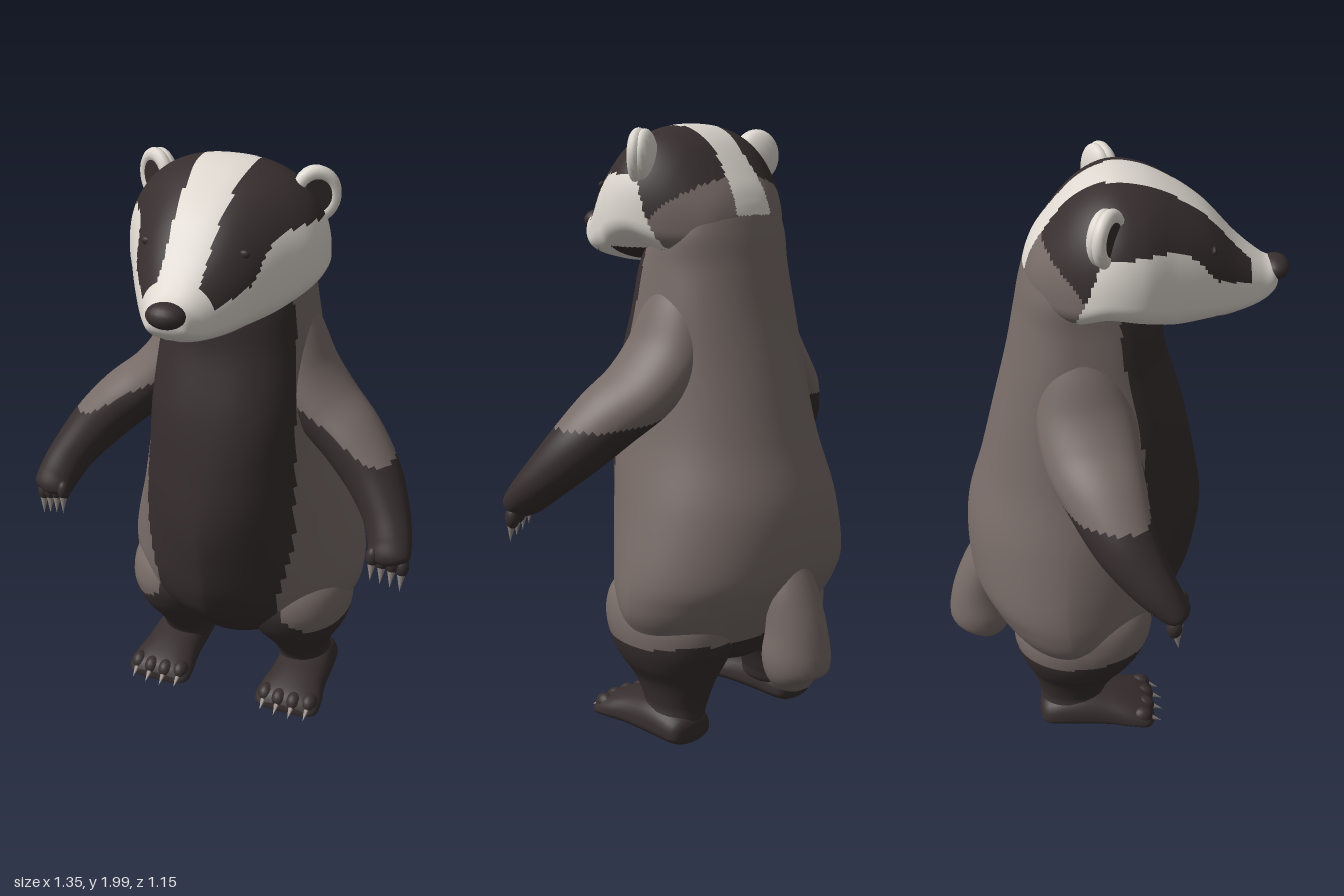
import * as THREE from 'three';

const material = (name, hex) => {
  const m = new THREE.MeshStandardMaterial({ color: hex });
  m.name = name;
  return m;
};
const dark = material('dark fur', 0x372e2e);
const grey = material('grey fur', 0x776b67);
const white = material('white fur', 0xded8d0);
const claw = material('claw', 0x958b86);
const furs = [dark, grey, white];
const DARK = 0, GREY = 1, WHITE = 2;

// Smooth interpolation through rows of numbers, u from 0 to 1
function sample(keys, u) {
  const f = Math.min(Math.max(u, 0), 1) * (keys.length - 1);
  const i = Math.min(Math.floor(f), keys.length - 2), t = f - i;
  const at = k => keys[Math.min(Math.max(k, 0), keys.length - 1)];
  const [p, q, r, s] = [at(i - 1), at(i), at(i + 1), at(i + 2)];
  return q.map((_, k) => 0.5 * (2 * q[k] + (r[k] - p[k]) * t
    + (2 * p[k] - 5 * q[k] + 4 * r[k] - s[k]) * t * t
    + (3 * q[k] - p[k] - 3 * r[k] + s[k]) * t * t * t));
}

// Straight-line lookup in a table of [position, value]
function lookup(table, v) {
  if (v <= table[0][0]) return table[0][1];
  for (let i = 1; i < table.length; i++) {
    const [a, va] = table[i - 1], [b, vb] = table[i];
    if (v <= b) return va + (vb - va) * (v - a) / (b - a);
  }
  return table[table.length - 1][1];
}

const power = (v, n) => Math.sign(v) * Math.pow(Math.abs(v), 2 / n);

// Closed skin over rings point(u, angle); colourOf picks the fur of each patch
function skin(name, point, colourOf, rows, cols) {
  const pos = [], faces = furs.map(() => []);
  for (let i = 0; i <= rows; i++)
    for (let j = 0; j < cols; j++) pos.push(...point(i / rows, j / cols * Math.PI * 2));
  for (const i of [0, rows]) {
    const c = [0, 0, 0];
    for (let j = 0; j < cols; j++)
      for (let k = 0; k < 3; k++) c[k] += pos[(i * cols + j) * 3 + k] / cols;
    pos.push(...c);
  }
  const add = (corners, tris) => {
    const mid = [0, 1, 2].map(k => corners.reduce((sum, v) => sum + pos[v * 3 + k], 0) / corners.length);
    faces[colourOf(...mid)].push(...tris);
  };
  const end = (rows + 1) * cols;
  for (let j = 0; j < cols; j++) {
    const n = (j + 1) % cols;
    for (let i = 0; i < rows; i++) {
      const a = i * cols + j, b = i * cols + n, c = a + cols, d = b + cols;
      add([a, b, c, d], [a, b, c, b, d, c]);
    }
    const first = [end, n, j], last = [end + 1, rows * cols + j, rows * cols + n];
    add(first, first);
    add(last, last);
  }
  const g = new THREE.BufferGeometry();
  g.setAttribute('position', new THREE.Float32BufferAttribute(pos, 3));
  g.setIndex(faces.flat());
  let start = 0;
  faces.forEach((f, m) => {
    if (f.length) g.addGroup(start, f.length, m);
    start += f.length;
  });
  g.computeVertexNormals();
  const mesh = new THREE.Mesh(g, furs);
  mesh.name = name;
  return mesh;
}

// Upright section from rows of [y, front z, back z, half width, front squareness]; widest behind the middle
const upright = (keys, low, cx = () => 0) => (u, t) => {
  const [y, zf, zb, w, square] = sample(keys, u);
  const mid = zb + low * (zf - zb), front = Math.cos(t) > 0;
  const n = front ? square : 2.05;
  return [cx(y) + w * power(Math.sin(t), n), y, mid + (front ? zf - mid : mid - zb) * power(Math.cos(t), n)];
};
// Forward section from rows of [z, top, bottom, half width]
const forward = (keys, low, cx = 0) => (u, t) => {
  const [z, top, bottom, w] = sample(keys, u);
  const mid = bottom + low * (top - bottom), s = power(Math.sin(t), 2.3);
  return [cx + w * power(Math.cos(t), 2.3), mid + s * (s > 0 ? top - mid : mid - bottom), z];
};
// Limb section along rows of [x, y, z, radius, depth radius]
const limb = (keys, side = 1) => (u, t) => {
  const centre = v => { const [x, y, z] = sample(keys, v); return new THREE.Vector3(x * side, y, z); };
  const [, , , ra, rb] = sample(keys, u);
  const d = centre(u + 0.01).sub(centre(u - 0.01)).normalize();
  const a = d.clone().cross(new THREE.Vector3(0, 0, 1)).normalize();
  const b = d.clone().cross(a);
  return centre(u).addScaledVector(a, ra * Math.cos(t)).addScaledVector(b, rb * Math.sin(t)).toArray();
};

// Dark belly and legs on grey fur
const bellyEdge = [[0.36, 0.3], [0.4, 0.235], [0.47, 0.215], [0.6, 0.245], [0.75, 0.268], [1, 0.26], [1.2, 0.25], [1.55, 0.22]];
const bodyColour = (x, y, z) =>
  y < 0.355 + 0.01 * Math.sin(14 * x + 9 * z) || (z > 0.04 && Math.abs(x) < lookup(bellyEdge, y)) ? DARK : GREY;
// Dark forearm, reaching higher on the inner front
const armColour = (x, y, z) =>
  y < 1.06 + Math.max(0, 0.5 - Math.abs(x)) * (0.15 + 0.5 * Math.min(1, Math.max(0, (z + 0.01) * 9))) ? DARK : GREY;

// Striped face: white blaze, dark eye bands, white cheeks, dark throat, grey nape
const stripe = [[-0.25, 0.075], [-0.1, 0.057], [0, 0.08], [0.1, 0.085], [0.3, 0.07], [0.44, 0.065]];
const bandEdge = [[-0.12, 1.58], [-0.06, 1.72], [-0.02, 1.83], [0.1, 1.84], [0.2, 1.83], [0.26, 1.79], [0.33, 1.71], [0.44, 1.665]];
function headColour(x, y, z) {
  if (Math.abs(x) < lookup(stripe, z) && y > 1.71) return WHITE;
  if (z < -0.07 - Math.max(0, 1.7 - y) * 0.35 && y < 1.63 - z) return GREY;
  if (z < 0.17 && y < 1.605) return DARK;
  return z < 0.44 && y > lookup(bandEdge, z) ? DARK : WHITE;
}

const torsoKeys = [[0.22, -0.02, -0.2, 0.05, 2], [0.26, 0.08, -0.27, 0.18, 2], [0.34, 0.16, -0.33, 0.35, 1.7],
  [0.42, 0.235, -0.385, 0.415, 1.55], [0.5, 0.28, -0.435, 0.435, 1.5], [0.6, 0.31, -0.475, 0.425, 1.5],
  [0.8, 0.33, -0.475, 0.37, 1.65], [1, 0.3, -0.42, 0.31, 2.1], [1.2, 0.255, -0.37, 0.278, 2.6],
  [1.4, 0.195, -0.32, 0.258, 2.5], [1.55, 0.17, -0.29, 0.238, 2.3], [1.66, 0.1, -0.268, 0.225, 2.2],
  [1.75, 0.05, -0.238, 0.18, 2.1], [1.82, 0, -0.18, 0.08, 2]];
const headKeys = [[-0.26, 1.69, 1.64, 0.03], [-0.24, 1.755, 1.62, 0.11], [-0.2, 1.825, 1.59, 0.18],
  [-0.1, 1.94, 1.56, 0.27], [0, 1.99, 1.585, 0.315], [0.1, 1.985, 1.57, 0.312], [0.2, 1.945, 1.545, 0.26],
  [0.3, 1.878, 1.545, 0.205], [0.4, 1.775, 1.553, 0.145], [0.48, 1.712, 1.572, 0.092],
  [0.525, 1.692, 1.605, 0.06], [0.54, 1.665, 1.64, 0.015]];
const legKeys = [[0.03, -0.03, -0.22, 0.07, 2.1], [0.07, 0, -0.24, 0.095, 2.1], [0.12, -0.01, -0.245, 0.095, 2.1],
  [0.2, 0.04, -0.27, 0.12, 2.1], [0.27, 0.095, -0.3, 0.165, 2.1], [0.34, 0.135, -0.325, 0.193, 2.1],
  [0.42, 0.155, -0.325, 0.202, 2.1], [0.5, 0.13, -0.28, 0.18, 2.1], [0.58, 0.05, -0.18, 0.09, 2.1]];
const footKeys = [[-0.245, 0.07, 0.01, 0.04], [-0.22, 0.1, 0, 0.085], [-0.12, 0.13, 0, 0.1],
  [0, 0.115, 0, 0.105], [0.08, 0.095, 0, 0.118], [0.14, 0.07, 0, 0.118], [0.165, 0.04, 0.01, 0.09]];
const armKeys = [[0.06, 1.6, -0.08, 0.02, 0.02], [0.1, 1.52, -0.08, 0.1, 0.1], [0.16, 1.4, -0.08, 0.11, 0.135],
  [0.225, 1.27, -0.07, 0.105, 0.155], [0.31, 1.17, -0.05, 0.1, 0.152], [0.41, 1.085, -0.01, 0.1, 0.13],
  [0.5, 0.99, 0.04, 0.092, 0.105], [0.565, 0.9, 0.105, 0.078, 0.08], [0.598, 0.83, 0.165, 0.072, 0.06],
  [0.607, 0.79, 0.205, 0.062, 0.042], [0.61, 0.775, 0.215, 0.01, 0.01]];
const tailKeys = [[0, 0.62, -0.41, 0.06, 0.05], [0, 0.52, -0.435, 0.09, 0.075], [0, 0.4, -0.455, 0.1, 0.1],
  [0, 0.3, -0.458, 0.11, 0.115], [0, 0.23, -0.47, 0.088, 0.095], [0, 0.195, -0.49, 0.02, 0.02]];

function part(parent, name, geometry, mat, position, scale = [1, 1, 1]) {
  const mesh = new THREE.Mesh(geometry, mat);
  mesh.name = name;
  mesh.position.set(...position);
  mesh.scale.set(...scale);
  parent.add(mesh);
  return mesh;
}
const ball = new THREE.SphereGeometry(1, 18, 12);
const clawCone = new THREE.ConeGeometry(0.018, 0.08, 10);
function addClaw(parent, position, direction) {
  part(parent, 'claw', clawCone, claw, position).quaternion.setFromUnitVectors(
    new THREE.Vector3(0, 1, 0), new THREE.Vector3(...direction).normalize());
}

export function createModel() {
  const model = new THREE.Group();
  model.name = 'badger';
  const headPoint = forward(headKeys, 0.3);
  model.add(skin('torso', upright(torsoKeys, 0.42), bodyColour, 120, 136));
  model.add(skin('head', headPoint, headColour, 130, 136));
  model.add(skin('tail', limb(tailKeys), () => GREY, 24, 24));
  part(model, 'nose', ball, dark, [0, 1.668, 0.528], [0.06, 0.038, 0.045]);

  // Mouth line following the muzzle
  const smile = [];
  for (let i = -6; i <= 6; i++) {
    const t = -Math.PI / 2 + i / 6 * 1.05;
    smile.push(new THREE.Vector3(...headPoint(0.86 - Math.abs(i) / 6 * 0.2, t)));
  }
  part(model, 'mouth', new THREE.TubeGeometry(new THREE.CatmullRomCurve3(smile), 48, 0.0025, 6), grey, [0, 0, 0]);

  for (const s of [1, -1]) {
    const label = s > 0 ? 'left' : 'right';
    const legCentre = y => s * lookup([[0.05, 0.25], [0.12, 0.23], [0.5, 0.2]], y);
    model.add(skin(label + 'Leg', upright(legKeys, 0.5, legCentre), bodyColour, 60, 56));
    model.add(skin(label + 'Foot', forward(footKeys, 0.35, s * 0.252), () => DARK, 28, 32));
    model.add(skin(label + 'Arm', limb(armKeys, s), armColour, 90, 60));

    // Toes, fingers and their claws
    for (let i = 0; i < 4; i++) {
      const x = s * (0.17 + i * 0.055), z = 0.135 - Math.abs(i - 1.5) * 0.01;
      part(model, label + 'Toe', ball, dark, [x, 0.045, z], [0.03, 0.036, 0.038]);
      addClaw(model, [x, 0.036, z + 0.035], [0, -0.5, 1]);
      const fx = s * (0.556 + i * 0.031), fy = 0.808 - i * 0.012, fz = 0.213 - i * 0.009;
      part(model, label + 'Finger', ball, dark, [fx, fy - 0.01, fz], [0.022, 0.036, 0.025]);
      addClaw(model, [fx, fy - 0.055, fz + 0.01], [0, -1, 0.15]);
    }

    // Small eye sunk in the dark band
    part(model, label + 'Eye', ball, dark, headPoint(0.65, Math.PI / 2 - s * 0.85), [0.016, 0.012, 0.008]);

    // Rounded ear, turned outward, with a pale rim and dark hollow
    const ear = new THREE.Group();
    ear.name = label + 'Ear';
    ear.position.set(s * 0.26, 1.89, 0);
    ear.rotation.y = s * 0.55;
    ear.scale.y = 1.12;
    part(ear, 'earBack', ball, white, [0, 0, -0.02], [0.072, 0.076, 0.036]);
    part(ear, 'earRim', new THREE.TorusGeometry(0.058, 0.021, 12, 36), white, [0, 0, 0]);
    part(ear, 'earHollow', new THREE.CircleGeometry(0.048, 28), dark, [0, 0, 0.0165]);
    model.add(ear);
  }
  return model;
}
